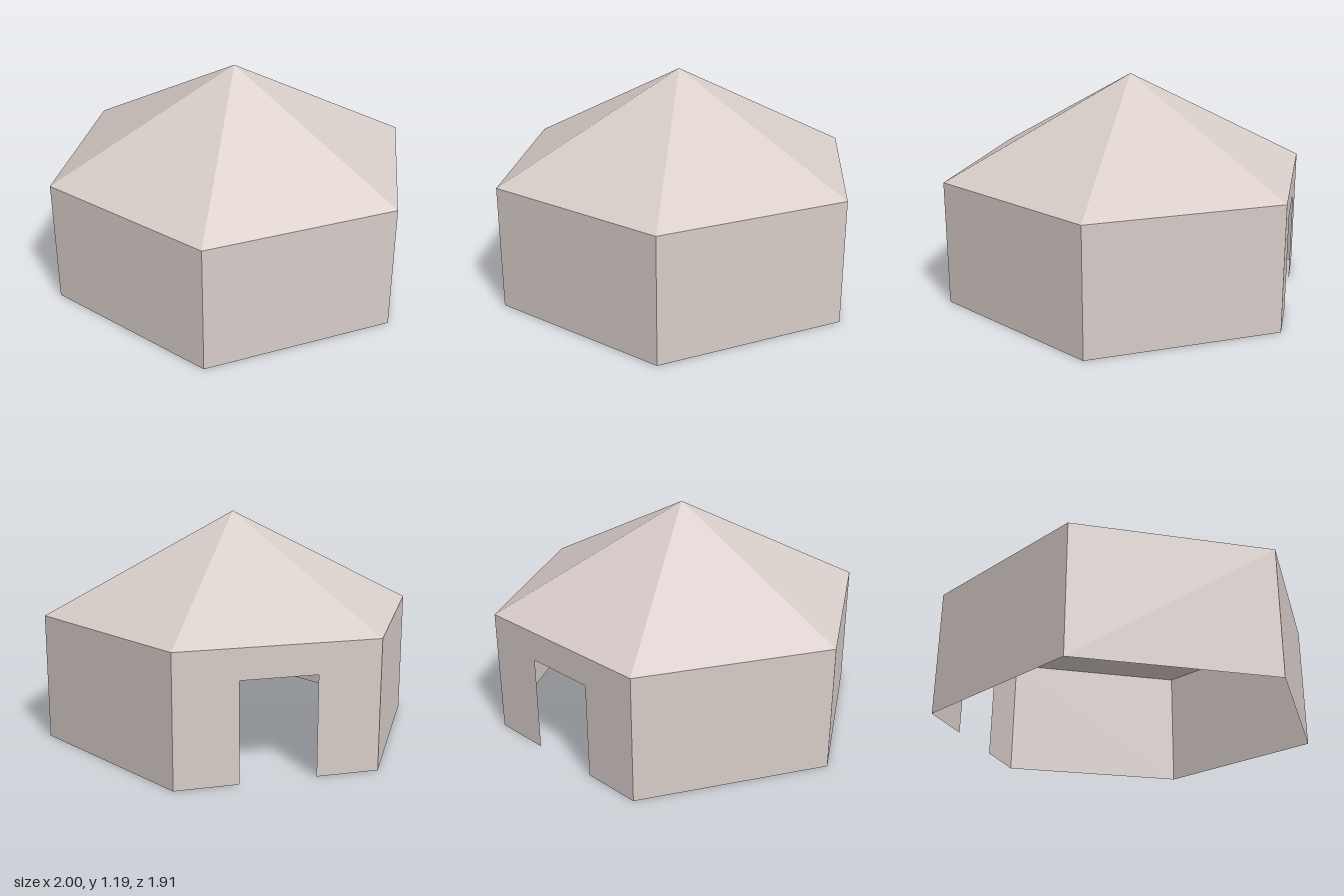
import * as THREE from 'three';

const SIDES = 6, RADIUS = 1.0154, EAVE = 0.665, APEX = 1.187;
const DOOR_WIDTH = 0.384, DOOR_HEIGHT = 0.51, DOOR_WALL = 3;
const STEP = (2 * Math.PI) / SIDES;
const TURN = THREE.MathUtils.degToRad(20); // heading of the first corner post

// Flat wall panel, optionally with a doorway cut up from the ground
function wallGeometry(hasDoor) {
  const w = RADIUS * Math.sin(STEP / 2), d = DOOR_WIDTH / 2;
  const points = [[-w, 0]];
  if (hasDoor) points.push([-d, 0], [-d, DOOR_HEIGHT], [d, DOOR_HEIGHT], [d, 0]);
  points.push([w, 0], [w, EAVE], [-w, EAVE]);
  return new THREE.ShapeGeometry(new THREE.Shape(points.map(([x, y]) => new THREE.Vector2(x, y))));
}

export function createModel() {
  const model = new THREE.Group();
  model.name = 'hexagonalTent';
  const canvas = new THREE.MeshStandardMaterial({ color: 0xd7ccc8, side: THREE.DoubleSide, flatShading: true });
  canvas.name = 'paleCanvas';

  // Ring of thin walls, one with the doorway
  const walls = new THREE.Group();
  walls.name = 'walls';
  const apothem = RADIUS * Math.cos(STEP / 2);
  for (let i = 0; i < SIDES; i++) {
    const heading = TURN + (i + 0.5) * STEP;
    const wall = new THREE.Mesh(wallGeometry(i === DOOR_WALL), canvas);
    wall.name = i === DOOR_WALL ? 'doorWall' : 'wall';
    wall.position.set(apothem * Math.sin(heading), 0, apothem * Math.cos(heading));
    wall.rotation.y = heading;
    walls.add(wall);
  }
  model.add(walls);

  // Open pyramid roof
  const roof = new THREE.Mesh(new THREE.ConeGeometry(RADIUS, APEX - EAVE, SIDES, 1, true, TURN), canvas);
  roof.name = 'roof';
  roof.position.y = (APEX + EAVE) / 2;
  model.add(roof);

  return model;
}
